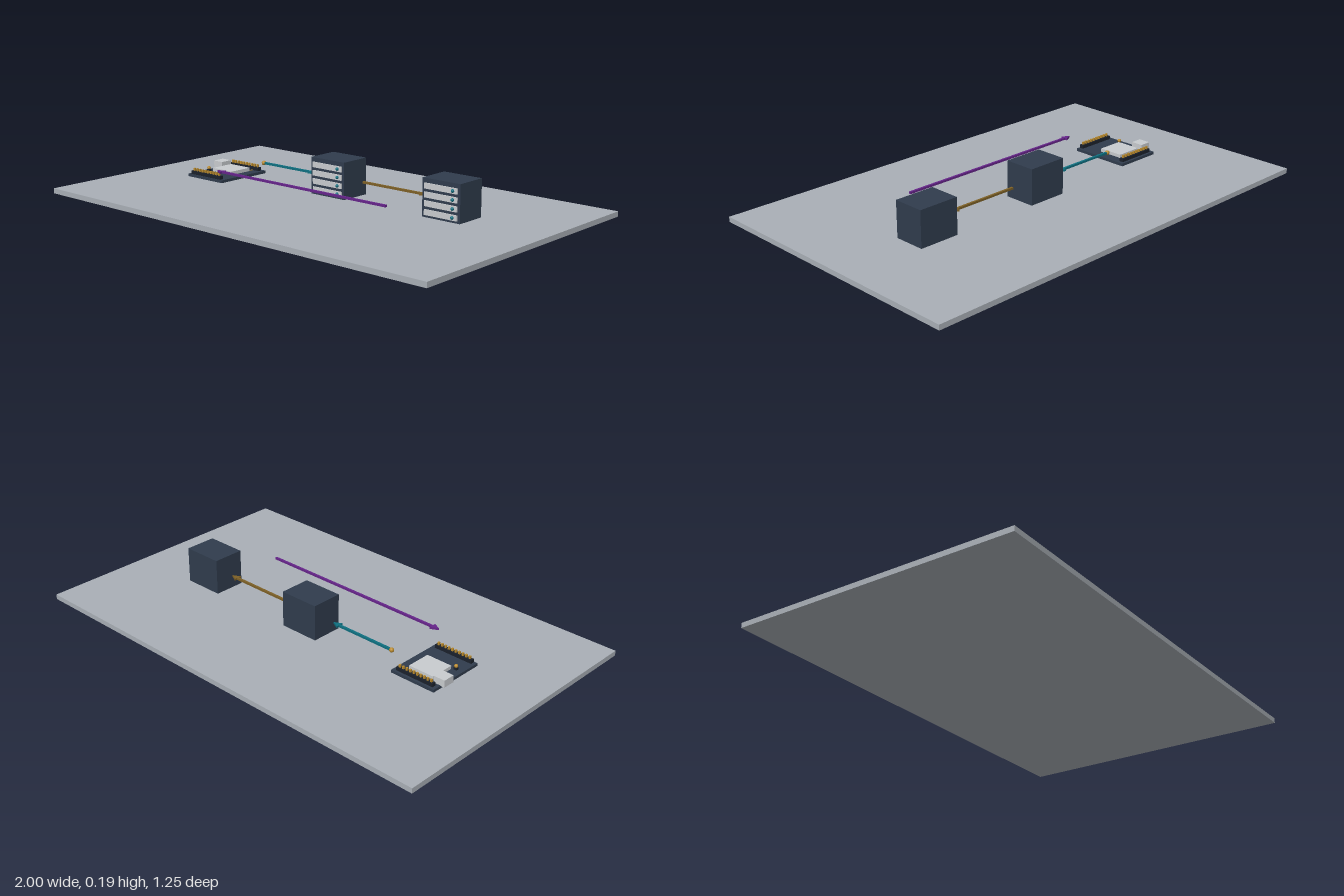
import * as THREE from 'three';

const mat = (name, color) => {
  const m = new THREE.MeshStandardMaterial({ color });
  m.name = name;
  return m;
};

export function createModel() {
  const root = new THREE.Group();
  root.name = 'networkDiagram';
  const grey = mat('platformGrey', 0xa9afb6);
  const slate = mat('slate', 0x303c4d);
  const dark = mat('nearBlack', 0x1b212b);
  const silver = mat('silver', 0xc9cccf);
  const gold = mat('gold', 0xb98a2e);
  const teal = mat('teal', 0x0e6f80);
  const purple = mat('purple', 0x66248a);
  const brown = mat('bronze', 0x7d6026);

  const add = (parent, name, geometry, material, x, y, z) => {
    const m = new THREE.Mesh(geometry, material);
    m.name = name;
    m.position.set(x, y, z);
    parent.add(m);
    return m;
  };
  // Box given by its min and max corners
  const box = (parent, name, material, x0, x1, y0, y1, z0, z1) =>
    add(parent, name, new THREE.BoxGeometry(x1 - x0, y1 - y0, z1 - z0), material,
      (x0 + x1) / 2, (y0 + y1) / 2, (z0 + z1) / 2);
  const group = (name, x = 0) => {
    const g = new THREE.Group();
    g.name = name;
    g.position.x = x;
    root.add(g);
    return g;
  };

  box(root, 'platform', grey, -1, 1, 0, 0.022, -0.625, 0.625);

  // Server cabinets: four drive bays, each with an indicator
  const server = (name, x) => {
    const g = group(name, x);
    box(g, 'cabinet', slate, -0.09, 0.09, 0.031, 0.187, -0.152, -0.013);
    for (let i = 0; i < 4; i++) {
      const y = 0.052 + i * 0.035;
      box(g, 'bay', silver, -0.078, 0.078, y - 0.0115, y + 0.0115, -0.014, -0.008);
      add(g, 'indicator', new THREE.SphereGeometry(0.007, 14, 10), teal, 0.058, y, -0.006);
    }
  };
  server('middleServer', 0);
  server('leftServer', 0.58);

  // Microcontroller board
  const board = group('circuitBoard', -0.585);
  box(board, 'boardPlate', slate, -0.105, 0.105, 0.039, 0.051, -0.136, 0.131);
  box(board, 'shieldCan', silver, -0.058, 0.06, 0.051, 0.066, -0.083, 0.027);
  box(board, 'usbPort', silver, -0.122, -0.07, 0.049, 0.08, -0.094, -0.04);
  add(board, 'statusLight', new THREE.SphereGeometry(0.008, 14, 10), gold, -0.073, 0.066, 0.038);
  box(board, 'lightBase', dark, -0.08, -0.066, 0.051, 0.061, 0.031, 0.045);
  for (const z of [-0.116, 0.118]) {
    box(board, 'pinHeader', dark, -0.09, 0.09, 0.051, 0.066, z - 0.009, z + 0.009);
    for (let i = 0; i < 10; i++) {
      const x = -0.077 + i * 0.0171;
      box(board, 'pin', gold, x - 0.004, x + 0.004, 0.066, 0.078, z - 0.004, z + 0.004);
    }
  }
  // Antenna trace beside the rear header
  for (let i = 0; i < 6; i++) {
    const x = -0.055 + i * 0.022;
    box(board, 'antennaTrace', gold, x - 0.003, x + 0.003, 0.051, 0.053, -0.106, -0.09);
  }

  // Flat arrows pointing from x0 to x1
  const arrow = (name, material, x0, x1, z) => {
    const g = group(name);
    const d = Math.sign(x1 - x0), neck = x1 - d * 0.033, w = 0.005;
    const pts = [[x0, -w], [neck, -w], [neck, -0.017], [x1, 0], [neck, 0.017], [neck, w], [x0, w]];
    const shape = new THREE.Shape(pts.map(([x, y]) => new THREE.Vector2(x, y)));
    const geo = new THREE.ExtrudeGeometry(shape, { depth: 0.009, bevelEnabled: false });
    geo.rotateX(-Math.PI / 2);
    add(g, 'arrowBody', geo, material, 0, 0.0955, z);
    return g;
  };
  const out = arrow('tealArrow', teal, -0.435, -0.13, -0.085);
  add(out, 'startBead', new THREE.SphereGeometry(0.01, 16, 12), gold, -0.437, 0.1, -0.085);
  arrow('bronzeArrow', brown, 0.132, 0.465, -0.085);
  arrow('purpleArrow', purple, 0.455, -0.467, 0.166);

  return root;
}
